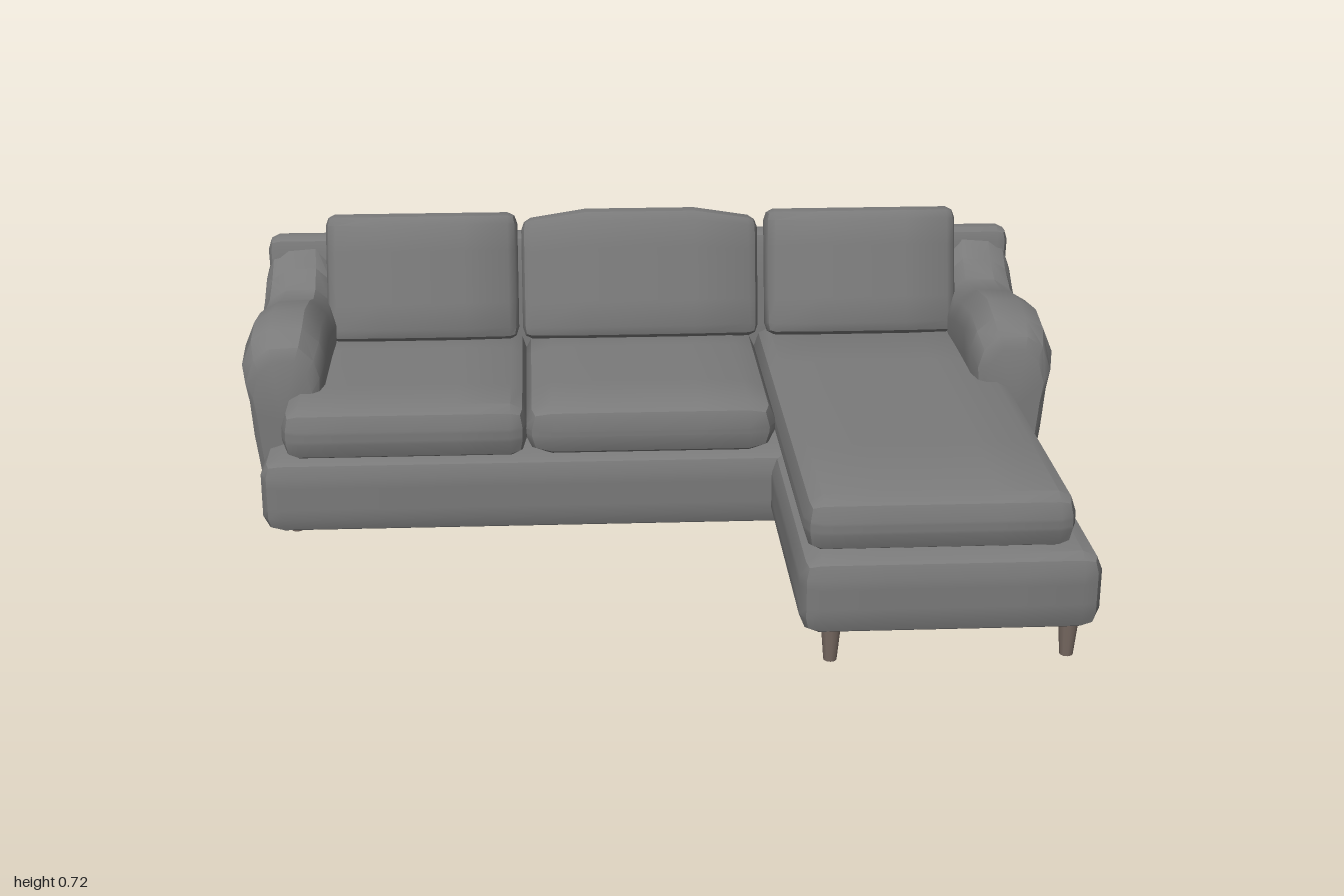
import * as THREE from 'three';
import { mergeVertices, toCreasedNormals } from 'three/addons/utils/BufferGeometryUtils.js';

const fabric = new THREE.MeshStandardMaterial({ color: 0x7a7a7a });
const wood = new THREE.MeshStandardMaterial({ color: 0x786a62 });
const CREASE = 0.6;

// Block with coarse rounded edges between two corners, with a radius per axis.
// An optional warp(p, u) reshapes it; p is relative to the centre, u runs -1..1.
function softBox(name, min, max, radius, warp) {
  const lo = new THREE.Vector3(...min), hi = new THREE.Vector3(...max);
  const centre = lo.clone().add(hi).multiplyScalar(0.5);
  const half = hi.clone().sub(lo).multiplyScalar(0.5).toArray();
  const stops = half.map((h, a) => {
    const side = [(h - radius[a]) / 2, h - radius[a], h];
    return [...side.map((v) => -v).reverse(), ...side];
  });
  let geo = new THREE.BoxGeometry(1, 1, 1, 5, 5, 5);
  geo.deleteAttribute('normal');
  geo.deleteAttribute('uv');
  geo = mergeVertices(geo);
  const pos = geo.attributes.position;
  const p = new THREE.Vector3(), u = new THREE.Vector3();
  for (let i = 0; i < pos.count; i++) {
    p.fromBufferAttribute(pos, i);
    const grid = p.toArray().map((v, a) => stops[a][Math.round((v + 0.5) * 5)]);
    const core = grid.map((v, a) => THREE.MathUtils.clamp(v, radius[a] - half[a], half[a] - radius[a]));
    const out = new THREE.Vector3(...grid.map((v, a) => (v - core[a]) / radius[a])).normalize().toArray();
    p.set(...core.map((c, a) => c + out[a] * radius[a]));
    u.set(p.x / half[0], p.y / half[1], p.z / half[2]);
    if (warp) warp(p, u);
    pos.setXYZ(i, p.x, p.y, p.z);
  }
  const mesh = new THREE.Mesh(toCreasedNormals(geo, CREASE), fabric);
  mesh.name = name;
  mesh.position.copy(centre);
  return mesh;
}

// Closed skin through rings of points, capped at both ends.
function loft(rings) {
  const n = rings[0].length, verts = rings.flat(), index = [];
  for (let i = 0; i < rings.length - 1; i++) {
    for (let j = 0; j < n; j++) {
      const a = i * n + j, b = i * n + (j + 1) % n;
      index.push(a, b, a + n, b, b + n, a + n);
    }
  }
  for (const [ring, start, front] of [[rings[0], 0, true], [rings.at(-1), (rings.length - 1) * n, false]]) {
    const mid = new THREE.Vector3();
    ring.forEach((v) => mid.addScaledVector(v, 1 / n));
    const c = verts.push(mid) - 1;
    for (let j = 0; j < n; j++) {
      const a = start + j, b = start + (j + 1) % n;
      index.push(c, front ? b : a, front ? a : b);
    }
  }
  const geo = new THREE.BufferGeometry().setFromPoints(verts);
  geo.setIndex(index);
  return toCreasedNormals(geo, CREASE);
}

// Rolled arm: one section swept backwards, its top rising and dipping.
function arm(name, side) {
  // z, top height, inset of the sides
  const stations = [
    [-0.075, 0.475, 0.03], [-0.09, 0.505, 0.012], [-0.14, 0.537, 0], [-0.23, 0.557, 0],
    [-0.36, 0.54, 0], [-0.45, 0.515, 0], [-0.53, 0.517, 0.004], [-0.59, 0.555, 0.008],
    [-0.63, 0.605, 0.012], [-0.675, 0.62, 0.014],
  ];
  const rings = stations.map(([z, h, inset]) => {
    const section = [
      [0.80, 0.085], [0.80, h - 0.15], [0.795, h - 0.08], [0.81, h - 0.035], [0.85, h],
      [0.93, h - 0.003], [0.975, h - 0.03], [1.0, h - 0.09], [0.99, h - 0.14],
      [0.98, 0.26], [0.96, 0.12], [0.935, 0.085],
    ];
    const ring = section.map(([x, y]) =>
      new THREE.Vector3(side * (0.9 + (x - 0.9) * (1 - inset * 10)), y, z));
    return side > 0 ? ring : ring.reverse();
  });
  const mesh = new THREE.Mesh(loft(rings), fabric);
  mesh.name = name;
  return mesh;
}

// Leaning back cushion, thinner towards its sides, with an optional arched top.
function backCushion(name, x0, x1, arch) {
  const mesh = softBox(name, [x0, 0.38, -0.595], [x1, 0.71, -0.465], [0.025, 0.03, 0.04], (p, u) => {
    p.z *= 1.05 - 0.4 * u.x * u.x;
    p.z -= 0.012 * u.x * u.x;
    if (u.y > 0) p.y += arch * u.y * (0.4 - u.x * u.x);
  });
  mesh.rotation.x = -0.27;
  return mesh;
}

export function createModel() {
  const sofa = new THREE.Group();
  sofa.name = 'sectionalSofa';

  // Upholstered base and chaise
  sofa.add(softBox('base', [-0.95, 0.075, -0.66], [0.93, 0.262, 0.06], [0.05, 0.04, 0.035]));
  sofa.add(softBox('chaiseBase', [0.285, 0.08, -0.085], [0.95, 0.262, 0.697], [0.045, 0.045, 0.035]));

  // Back panel, narrower towards the floor
  sofa.add(softBox('backPanel', [-0.982, 0.088, -0.697], [0.982, 0.627, -0.605], [0.03, 0.035, 0.022], (p, u) => {
    p.x *= 0.988 + 0.012 * u.y;
    if (u.y > 0 && u.z > 0) p.z -= 0.02 * u.y;
  }));

  sofa.add(arm('leftArm', 1), arm('rightArm', -1));

  // Seat cushions with a slight crown
  const crown = (p, u) => {
    if (u.y > 0) p.y += 0.006 * (1 - u.x * u.x) * (1 - u.z * u.z);
  };
  sofa.add(softBox('rightSeatCushion', [-0.895, 0.258, -0.58], [-0.305, 0.39, 0.06], [0.04, 0.05, 0.045], crown));
  sofa.add(softBox('middleSeatCushion', [-0.315, 0.258, -0.58], [0.3, 0.39, 0.06], [0.07, 0.06, 0.05], crown));
  sofa.add(softBox('chaiseSeatCushion', [0.295, 0.262, -0.58], [0.892, 0.39, 0.67], [0.04, 0.05, 0.045], crown));

  // Back cushions
  sofa.add(backCushion('rightBackCushion', -0.82, -0.325, 0));
  sofa.add(backCushion('middleBackCushion', -0.315, 0.3, 0.034));
  sofa.add(backCushion('leftBackCushion', 0.32, 0.82, 0));

  // Tapered legs
  const legGeo = new THREE.CylinderGeometry(0.024, 0.015, 0.1, 10);
  for (const [x, z] of [[-0.89, -0.61], [0.89, -0.61], [-0.89, -0.155], [0.89, -0.155], [0.36, 0.635], [0.89, 0.635]]) {
    const leg = new THREE.Mesh(legGeo, wood);
    leg.name = 'leg';
    leg.position.set(x, 0.05, z);
    sofa.add(leg);
  }
  return sofa;
}
